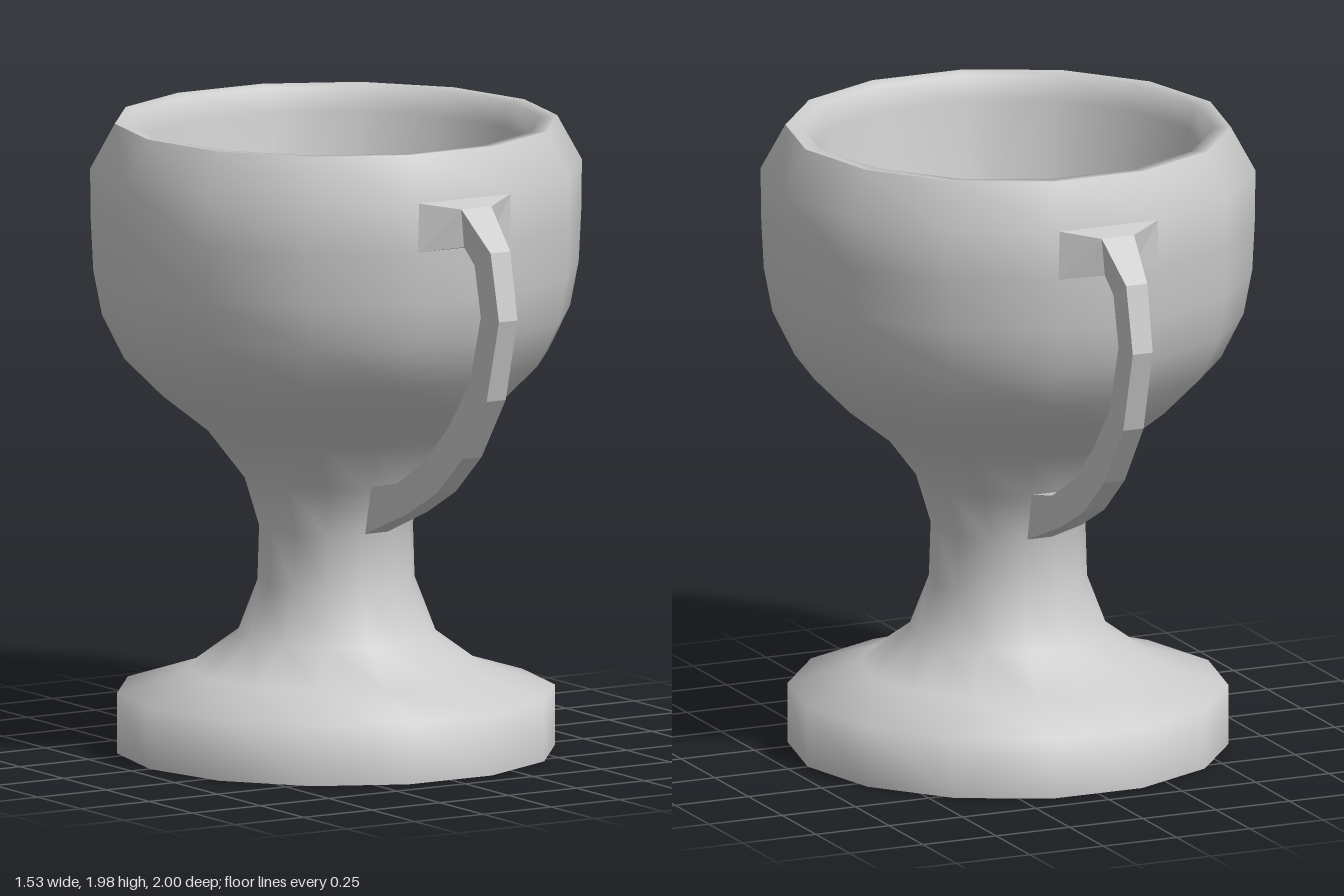
import * as THREE from 'three';

const SIDES = 14;

function material(extra = {}) {
  return new THREE.MeshStandardMaterial({ color: 0xcccccc, ...extra });
}

// Turned part with a polygon outline that has a corner on the x axis
function turned(name, profile) {
  const points = profile.map(([r, y]) => new THREE.Vector2(r, y));
  const mesh = new THREE.Mesh(new THREE.LatheGeometry(points, SIDES, Math.PI / 2), material());
  mesh.name = name;
  return mesh;
}

// Handle sections: [outer z, outer y, outer half width, inner z, inner y, inner half width]
const HANDLE = [
  [0.745, 1.84, 0.172, 0.745, 1.685, 0.172],
  [0.815, 1.82, 0.055, 0.81, 1.70, 0.042],
  [0.955, 1.70, 0.036, 0.865, 1.65, 0.038],
  [1.0, 1.49, 0.034, 0.898, 1.49, 0.036],
  [0.93, 1.23, 0.035, 0.83, 1.27, 0.035],
  [0.79, 1.03, 0.035, 0.71, 1.12, 0.035],
  [0.64, 0.90, 0.035, 0.575, 0.99, 0.037],
  [0.47, 0.81, 0.036, 0.42, 0.90, 0.042],
  [0.225, 0.71, 0.042, 0.24, 0.86, 0.05],
];

// Four-cornered bar swept through the sections
function handleGeometry() {
  const positions = [];
  const index = [];
  HANDLE.forEach(([oz, oy, ow, iz, iy, iw], i) => {
    positions.push(-ow, oy, oz, ow, oy, oz, iw, iy, iz, -iw, iy, iz);
    if (i === HANDLE.length - 1) return;
    for (let k = 0; k < 4; k++) {
      const a = i * 4 + k;
      const b = i * 4 + (k + 1) % 4;
      index.push(a, b + 4, b, a, a + 4, b + 4);
    }
  });
  const geometry = new THREE.BufferGeometry();
  geometry.setAttribute('position', new THREE.Float32BufferAttribute(positions, 3));
  geometry.setIndex(index);
  const flat = geometry.toNonIndexed();
  flat.computeVertexNormals();
  return flat;
}

export function createModel() {
  const group = new THREE.Group();
  group.name = 'trophyCup';

  // Base, stem and bowl in one continuous profile
  group.add(turned('cupBody', [
    [0.683, 0], [0.683, 0.19], [0.46, 0.26], [0.31, 0.37], [0.245, 0.54],
    [0.24, 0.71], [0.285, 0.86], [0.40, 1.01], [0.54, 1.12], [0.66, 1.24],
    [0.73, 1.38], [0.757, 1.52], [0.765, 1.68], [0.767, 1.84], [0.69, 1.98],
  ]));

  // Flat underside
  group.add(turned('underside', [[0, 0], [0.683, 0]]));

  // Flat rim and the tapering hollow of the bowl
  group.add(turned('bowlInside', [
    [0.69, 1.98], [0.64, 1.975], [0.615, 1.90], [0.48, 1.22], [0.41, 1.15], [0, 1.12],
  ]));

  // Handles on the front and back
  const geometry = handleGeometry();
  ['frontHandle', 'backHandle'].forEach((name, i) => {
    const handle = new THREE.Mesh(geometry, material({ flatShading: true }));
    handle.name = name;
    handle.rotation.y = i * Math.PI;
    group.add(handle);
  });

  return group;
}
